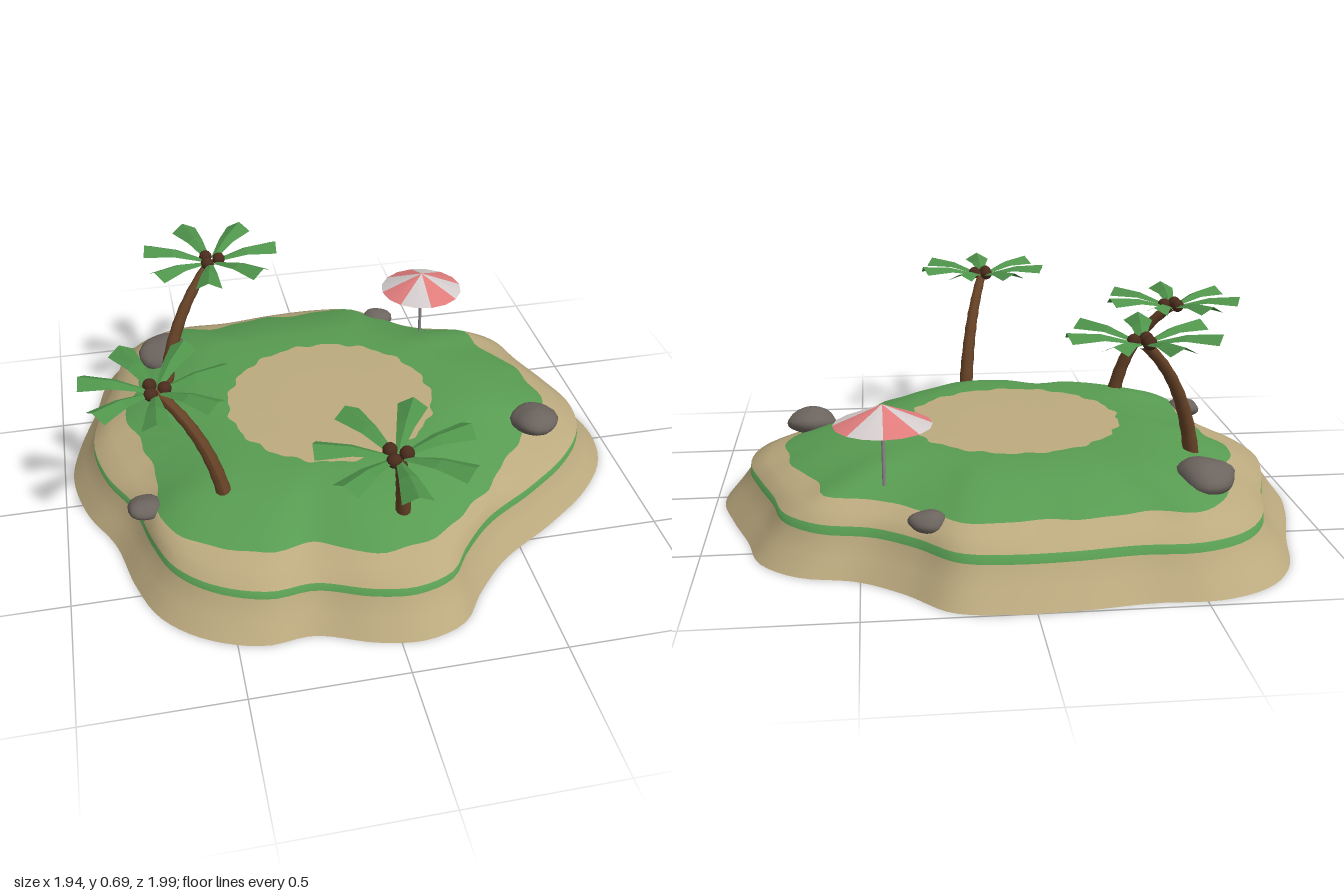
import * as THREE from 'three';

const mat = (name, color, side = THREE.FrontSide) => {
  const m = new THREE.MeshStandardMaterial({ color, side });
  m.name = name;
  return m;
};

// Closed outline as a radius-by-angle function around the sand clearing
const CX = -0.035, CZ = -0.07;
function outlineRadius(flat) {
  const pts = [];
  for (let i = 0; i < flat.length; i += 2) pts.push(new THREE.Vector3(flat[i] - CX, 0, flat[i + 1] - CZ));
  const polar = new THREE.CatmullRomCurve3(pts, true).getPoints(600)
    .map(p => [Math.atan2(p.z, p.x), Math.hypot(p.x, p.z)])
    .sort((a, b) => a[0] - b[0]);
  return angle => {
    const a = Math.atan2(Math.sin(angle), Math.cos(angle));
    let k = polar.findIndex(p => p[0] >= a);
    if (k <= 0) return polar[0][1];
    const [a0, r0] = polar[k - 1], [a1, r1] = polar[k];
    return r0 + (r1 - r0) * (a - a0) / (a1 - a0 || 1);
  };
}

const SHORE = [0.08, -1, 0.24, -0.97, 0.37, -0.84, 0.51, -0.74, 0.69, -0.69, 0.81, -0.58, 0.86, -0.41,
  0.92, -0.24, 0.97, -0.05, 0.94, 0.13, 0.825, 0.29, 0.64, 0.44, 0.43, 0.58, 0.30, 0.72, 0.22, 0.83,
  0.08, 0.88, -0.07, 0.86, -0.26, 0.79, -0.42, 0.80, -0.60, 0.73, -0.725, 0.61, -0.79, 0.45, -0.84, 0.24,
  -0.93, 0.05, -0.97, -0.16, -0.94, -0.34, -0.87, -0.56, -0.81, -0.77, -0.71, -0.90, -0.55, -0.97,
  -0.34, -0.97, -0.13, -0.995];
const LAWN = [-0.02, -0.8, 0.21, -0.79, 0.30, -0.69, 0.43, -0.6, 0.6, -0.53, 0.64, -0.4, 0.72, -0.24,
  0.75, -0.08, 0.73, 0.05, 0.59, 0.2, 0.48, 0.34, 0.35, 0.49, 0.24, 0.58, 0.12, 0.66, -0.07, 0.66,
  -0.23, 0.58, -0.39, 0.6, -0.58, 0.5, -0.68, 0.4, -0.68, 0.19, -0.71, -0.05, -0.76, -0.21,
  -0.71, -0.4, -0.67, -0.56, -0.59, -0.74, -0.5, -0.78, -0.39, -0.76, -0.26, -0.79];

// Open island shell: rings from the shore up to the middle, coloured by band
function makeIsland(sand, grass) {
  const shore = outlineRadius(SHORE), lawn = outlineRadius(LAWN);
  const wobble = a => 0.006 * Math.sin(a * 17) + 0.004 * Math.sin(a * 29 + 1);
  const rim = a => shore(a) * 0.905;
  const rings = [ // radius rule, height, colour of the strip above (0 sand, 1 grass)
    [shore, 0, 0],
    [a => shore(a) * 0.95, 0.06, 0],
    [a => shore(a) * 0.908, 0.115, 1],
    [rim, 0.145, 0],
    [a => (rim(a) + lawn(a)) / 2, 0.174, 0],
    [a => lawn(a) + wobble(a), 0.2, 1],
    [a => lawn(a) * 0.88, 0.233, 1],
    [a => lawn(a) * 0.75, 0.262, 1],
    [a => lawn(a) * 0.64, 0.277, 1],
    [a => 0.365 + wobble(a), 0.28, 0],
    [() => 0.18, 0.28, 0],
    [() => 0, 0.28, 0],
  ];
  const N = 160, pos = [], idx = [];
  const geo = new THREE.BufferGeometry();
  rings.forEach(([radius, y, colour], i) => {
    for (let j = 0; j < N; j++) {
      const t = j / N * Math.PI * 2, r = radius(t);
      pos.push(CX + r * Math.cos(t), y, CZ + r * Math.sin(t));
    }
    if (i === rings.length - 1) return;
    geo.addGroup(idx.length, N * 6, colour);
    for (let j = 0; j < N; j++) {
      const a = i * N + j, b = i * N + (j + 1) % N;
      idx.push(a, a + N, b, b, a + N, b + N);
    }
  });
  geo.setAttribute('position', new THREE.Float32BufferAttribute(pos, 3));
  geo.setIndex(idx);
  geo.computeVertexNormals();
  return new THREE.Mesh(geo, [sand, grass]);
}

// Tapered, gently ringed trunk along a leaning curve
function trunkGeometry(base, crown) {
  const control = base.clone().lerp(crown, 0.18).setY(base.y + (crown.y - base.y) * 0.66);
  const curve = new THREE.QuadraticBezierCurve3(base, control, crown);
  const S = 24, R = 10, geo = new THREE.TubeGeometry(curve, S, 1, R);
  const p = geo.attributes.position, v = new THREE.Vector3();
  for (let i = 0; i <= S; i++) {
    const c = curve.getPointAt(i / S);
    const r = 0.026 - 0.01 * i / S + (i % 3 === 0 ? 0.0015 : 0);
    for (let j = 0; j <= R; j++) {
      const k = i * (R + 1) + j;
      v.fromBufferAttribute(p, k).sub(c).multiplyScalar(r).add(c);
      p.setXYZ(k, v.x, v.y, v.z);
    }
  }
  geo.computeVertexNormals();
  return geo;
}

// Wedge-shaped frond folded along its ridge
function frondGeometry() {
  const geo = new THREE.PlaneGeometry(1, 1, 2, 2).rotateX(-Math.PI / 2);
  const p = geo.attributes.position;
  for (let i = 0; i < p.count; i++) {
    const t = p.getX(i) + 0.5, side = p.getZ(i) * 2;
    p.setXYZ(i,
      0.025 + 0.22 * t - 0.008 * t * Math.abs(side),
      0.005 + 0.085 * t - 0.045 * t * t - Math.abs(side) * (0.004 + 0.022 * t),
      side * (0.01 + 0.037 * t));
  }
  const flat = geo.toNonIndexed();
  flat.computeVertexNormals();
  return flat;
}

// Boulder: sphere with a soft lumpy rule
function rockGeometry(seed) {
  const geo = new THREE.SphereGeometry(1, 18, 12);
  const p = geo.attributes.position, v = new THREE.Vector3();
  for (let i = 0; i < p.count; i++) {
    v.fromBufferAttribute(p, i);
    v.multiplyScalar(1 + 0.05 * Math.sin(v.x * 4 + seed) + 0.05 * Math.sin(v.z * 4 + v.y * 3 + seed * 2));
    p.setXYZ(i, v.x, v.y, v.z);
  }
  geo.computeVertexNormals();
  return geo;
}

export function createModel() {
  const group = new THREE.Group();
  const sand = mat('sand', 0xbcaa7f, THREE.DoubleSide);
  const grass = mat('grass', 0x589c52, THREE.DoubleSide);
  const leaf = mat('palm leaf', 0x4f944b, THREE.DoubleSide);
  const bark = mat('bark', 0x664226);
  const nut = mat('coconut', 0x4a2c1c);
  const stone = mat('stone', 0x6c645e);
  const red = mat('parasol red', 0xe07c7c, THREE.DoubleSide);
  const white = mat('parasol white', 0xd4cccc, THREE.DoubleSide);
  const metal = mat('pole grey', 0x8c8888);

  const add = (parent, name, geo, material, x = 0, y = 0, z = 0) => {
    const m = new THREE.Mesh(geo, material);
    m.name = name;
    m.position.set(x, y, z);
    parent.add(m);
    return m;
  };

  const island = makeIsland(sand, grass);
  island.name = 'island';
  group.add(island);

  // Palms: base, crown, angle of the first frond in degrees
  const frond = frondGeometry(), coconut = new THREE.SphereGeometry(0.023, 12, 8);
  [
    [[-0.60, 0.21, -0.35], [-0.39, 0.65, -0.50], -5],
    [[-0.465, 0.21, 0.34], [-0.656, 0.60, 0.222], -10],
    [[0.085, 0.21, 0.53], [0, 0.63, 0.745], -13],
  ].forEach(([base, crown, start]) => {
    const palm = new THREE.Group();
    palm.name = 'palmTree';
    add(palm, 'trunk', trunkGeometry(new THREE.Vector3(...base), new THREE.Vector3(...crown)), bark);
    for (let i = 0; i < 7; i++) {
      add(palm, 'frond', frond, leaf, ...crown).rotation.y = -(start + i * 360 / 7) * Math.PI / 180;
    }
    for (let i = 0; i < 3; i++) {
      const a = i * Math.PI * 2 / 3;
      add(palm, 'coconut', coconut, nut, crown[0] + 0.03 * Math.cos(a), crown[1] + 0.008, crown[2] + 0.03 * Math.sin(a));
    }
    group.add(palm);
  });

  // Rocks: position and half sizes
  [
    [-0.585, 0.235, -0.575, 0.093, 0.056, 0.11],
    [0.67, 0.23, 0.135, 0.09, 0.044, 0.079],
    [0.295, 0.185, -0.735, 0.057, 0.034, 0.052],
    [-0.73, 0.187, 0.285, 0.056, 0.034, 0.056],
  ].forEach(([x, y, z, rx, ry, rz], i) => {
    add(group, 'rock', rockGeometry(i * 1.7), stone, x, y, z).scale.set(rx, ry, rz);
  });

  // Parasol with alternating wedges
  const parasol = new THREE.Group();
  parasol.name = 'parasol';
  parasol.position.set(0.42, 0, -0.53);
  add(parasol, 'pole', new THREE.CylinderGeometry(0.006, 0.006, 0.28, 8), metal, 0, 0.345, 0);
  for (let i = 0; i < 8; i++) {
    const wedge = new THREE.ConeGeometry(0.154, 0.065, 2, 1, true, i * Math.PI / 4, Math.PI / 4);
    add(parasol, 'canopyWedge', wedge, i % 2 ? white : red, 0, 0.457, 0);
  }
  group.add(parasol);
  return group;
}
